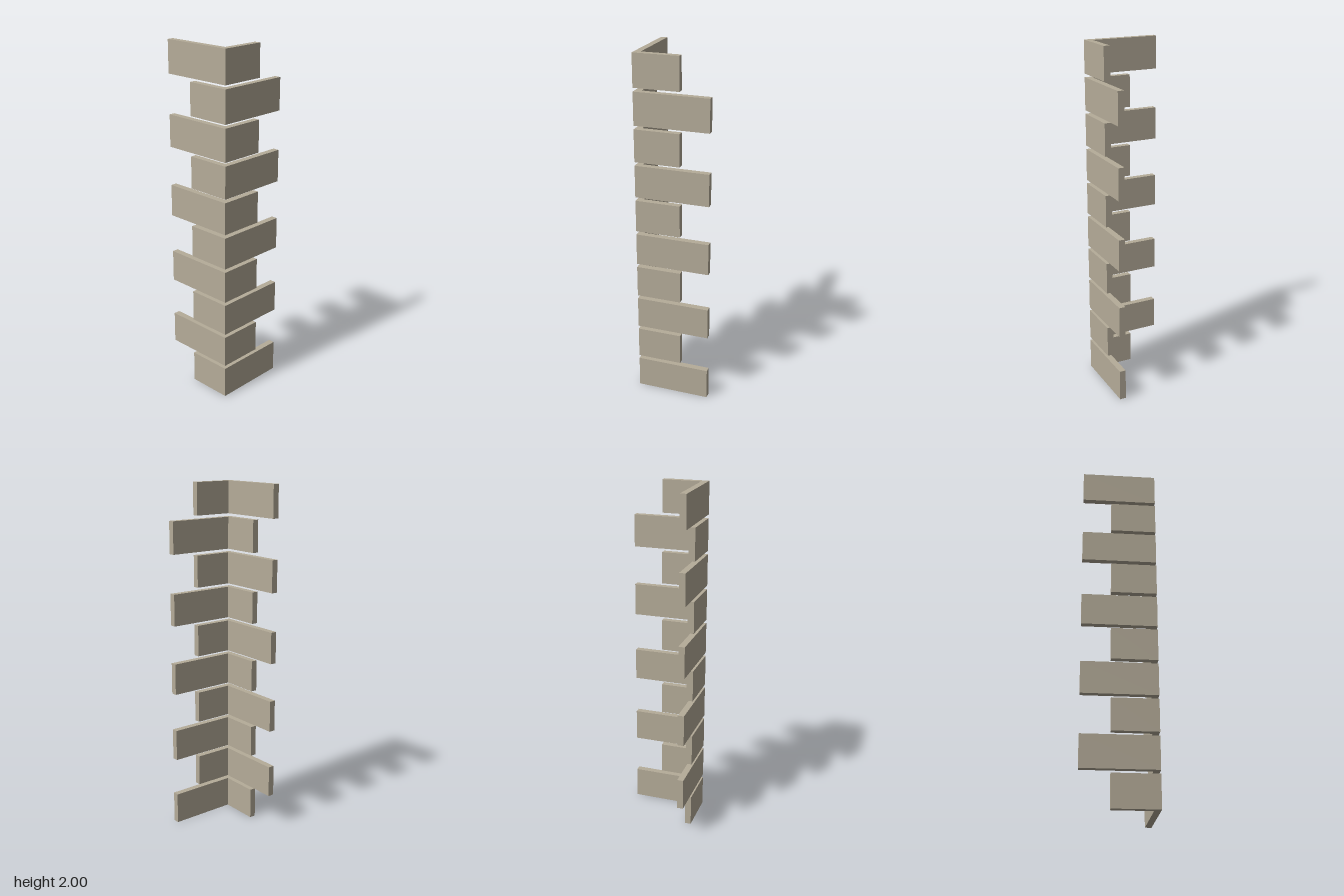
import * as THREE from 'three';

const ROWS = 10;
const PITCH = 0.202;   // row spacing, including the open joint
const HEIGHT = 0.182;  // block height
const HALF = 0.21;     // half the overall width and depth
const THICK = 0.036;   // leg thickness
const SHORT = 0.046;   // where a short leg ends
const LONG = HALF;     // where a long leg ends

// L-shaped corner block: one leg runs along the front (+x), one along the side (-z)
function cornerBlock(frontEnd, sideEnd) {
  const inner = -HALF + THICK;
  const shape = new THREE.Shape([
    [-HALF, -HALF], [frontEnd, -HALF], [frontEnd, inner],
    [inner, inner], [inner, sideEnd], [-HALF, sideEnd],
  ].map(([x, y]) => new THREE.Vector2(x, y)));
  const geometry = new THREE.ExtrudeGeometry(shape, { depth: HEIGHT, bevelEnabled: false });
  return geometry.rotateX(-Math.PI / 2);
}

export function createModel() {
  const group = new THREE.Group();
  group.name = 'cornerQuoins';

  const stone = new THREE.MeshStandardMaterial({ color: 0xb5ac99 });
  stone.name = 'stone';

  const frontLong = cornerBlock(LONG, SHORT);
  const sideLong = cornerBlock(SHORT, LONG);

  // Alternate the long leg between front and side, from the bottom up
  for (let i = 0; i < ROWS; i++) {
    const block = new THREE.Mesh(i % 2 === 0 ? frontLong : sideLong, stone);
    block.name = `quoinBlock${i + 1}`;
    block.position.y = i * PITCH;
    group.add(block);
  }
  return group;
}
